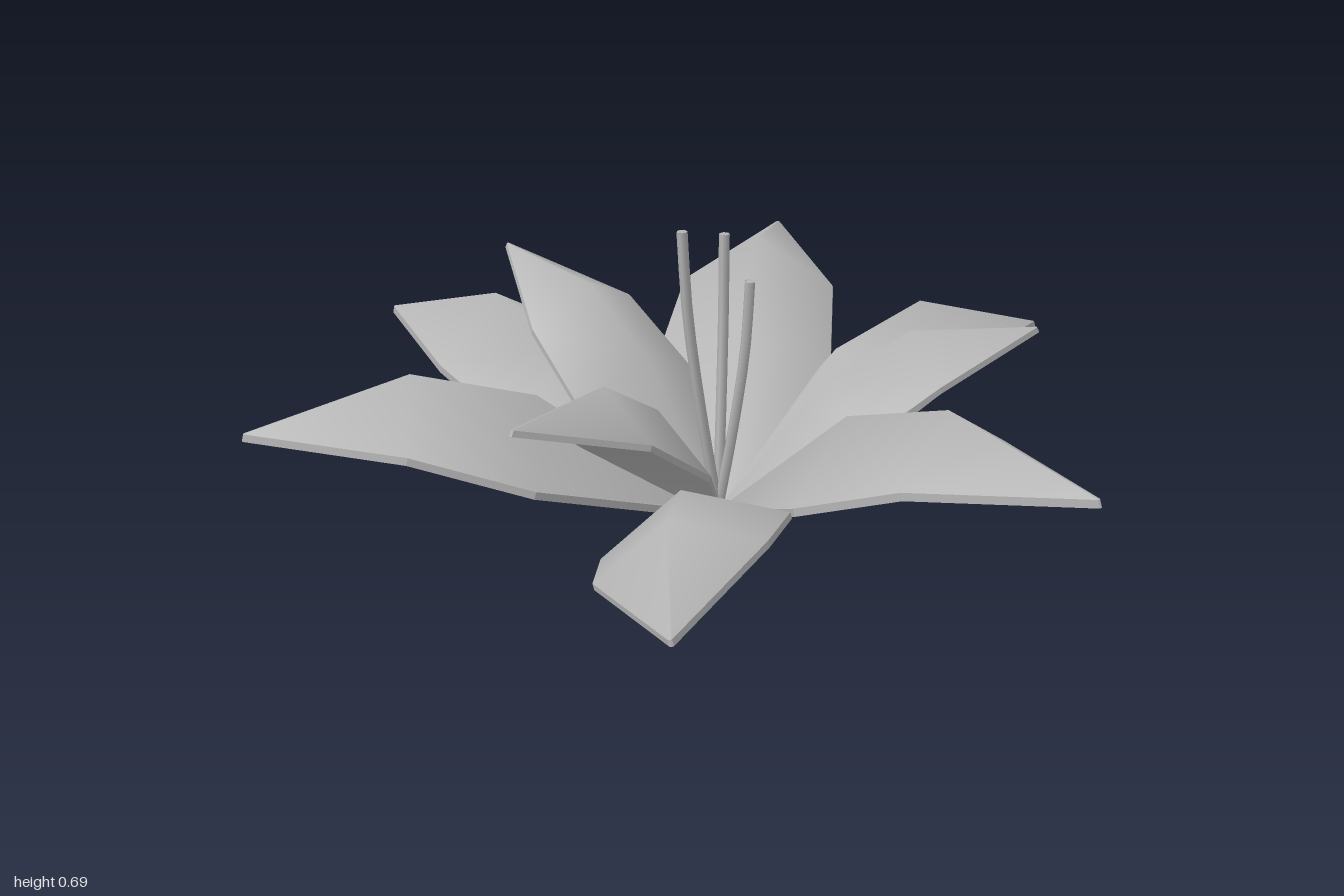
import * as THREE from 'three';

const CENTRE = [-0.06, 0.02, 0.015];
const rad = THREE.MathUtils.degToRad;

// One petal lying along +x: a ridged leaf slab made from four cross-sections.
function petalGeometry() {
  // ridge along, ridge height, edge along, edge height, half width
  const rows = [
    [0, 0, 0, 0, 0.012],
    [0.45, 0.2, 0.43, 0.06, 0.205],
    [0.73, 0.2, 0.71, 0.08, 0.18],
    [1.06, 0, 1.058, 0, 0.004],
  ];
  const thick = 0.018;
  const pos = [], index = [];
  const sheet = (drop) => {
    for (const [ru, rv, eu, ev, w] of rows) {
      pos.push(eu, ev - drop, -w, ru, rv - drop, 0, eu, ev - drop, w);
    }
  };
  sheet(0);
  sheet(thick);
  for (let i = 0; i < 3; i++) {
    for (let j = 0; j < 2; j++) {
      const a = i * 3 + j, b = a + 1, c = a + 3, d = a + 4;
      // split each quad so the diagonals mirror about the ridge
      const tris = j === 0 ? [a, b, c, b, d, c] : [a, b, d, a, d, c];
      index.push(...tris);
      for (let k = 0; k < 6; k += 3) index.push(tris[k] + 12, tris[k + 2] + 12, tris[k + 1] + 12);
    }
  }
  // rim with its own vertices, so its edges stay sharp
  const loop = [0, 1, 2, 5, 8, 11, 10, 9, 6, 3];
  loop.forEach((p, n) => {
    const q = loop[(n + 1) % loop.length], s = pos.length / 3;
    for (const v of [p, q, q + 12, p + 12]) pos.push(pos[v * 3], pos[v * 3 + 1], pos[v * 3 + 2]);
    index.push(s, s + 2, s + 1, s, s + 3, s + 2);
  });
  const geo = new THREE.BufferGeometry();
  geo.setAttribute('position', new THREE.Float32BufferAttribute(pos, 3));
  geo.setIndex(index);
  geo.computeVertexNormals();
  return geo;
}

export function createModel() {
  const group = new THREE.Group();
  const grey = new THREE.MeshStandardMaterial({ color: 0xb4b4b4, side: THREE.DoubleSide });
  grey.name = 'petalGrey';

  // Petals: name, heading from +x towards +z, pitch, roll, size, arch
  const petalGeo = petalGeometry();
  const petals = [
    ['outerPetal', -104, 13, -4, 1.015, 1],
    ['outerPetal', -46, 19.5, 0, 1.01, 1],
    ['outerPetal', -5.5, 11.3, -12, 0.985, 1],
    ['outerPetal', 76.7, 17.7, 0, 0.99, 1],
    ['outerPetal', 130, 11.2, 16, 1, 0.75],
    ['outerPetal', 210, 12.3, 0, 1, 1],
    ['innerPetal', -99, 33, -4, 0.8, 0.9],
    ['innerPetal', 22.5, 27, 0, 0.78, 0.95],
    ['innerPetal', 159, 31.5, 0, 0.8, 0.95],
  ];
  for (const [name, heading, pitch, roll, size, arch] of petals) {
    const petal = new THREE.Mesh(petalGeo, grey);
    petal.name = name;
    petal.position.set(...CENTRE);
    petal.rotation.set(rad(roll), rad(-heading), rad(pitch), 'YZX');
    petal.scale.set(size, size * arch, size);
    group.add(petal);
  }

  // Stamens: slim stalks that bend upright
  const tips = [[-0.148, 0.69, 0.01], [0.005, 0.64, -0.05], [-0.025, 0.575, 0.088]];
  for (const [x, y, z] of tips) {
    const [cx, cy, cz] = CENTRE;
    const at = (f, h) => new THREE.Vector3(cx + (x - cx) * f, cy + (y - cy) * h, cz + (z - cz) * f);
    const path = new THREE.CatmullRomCurve3([at(0, 0), at(0.5, 0.38), at(0.86, 0.72), at(1, 1)]);
    const stamen = new THREE.Group();
    stamen.name = 'stamen';
    const stalk = new THREE.Mesh(new THREE.TubeGeometry(path, 8, 0.012, 6), grey);
    stalk.name = 'stamenStalk';
    const cap = new THREE.Mesh(new THREE.CircleGeometry(0.012, 6), grey);
    cap.name = 'stamenTip';
    cap.position.set(x, y, z);
    cap.rotation.x = -Math.PI / 2;
    stamen.add(stalk, cap);
    group.add(stamen);
  }
  return group;
}
